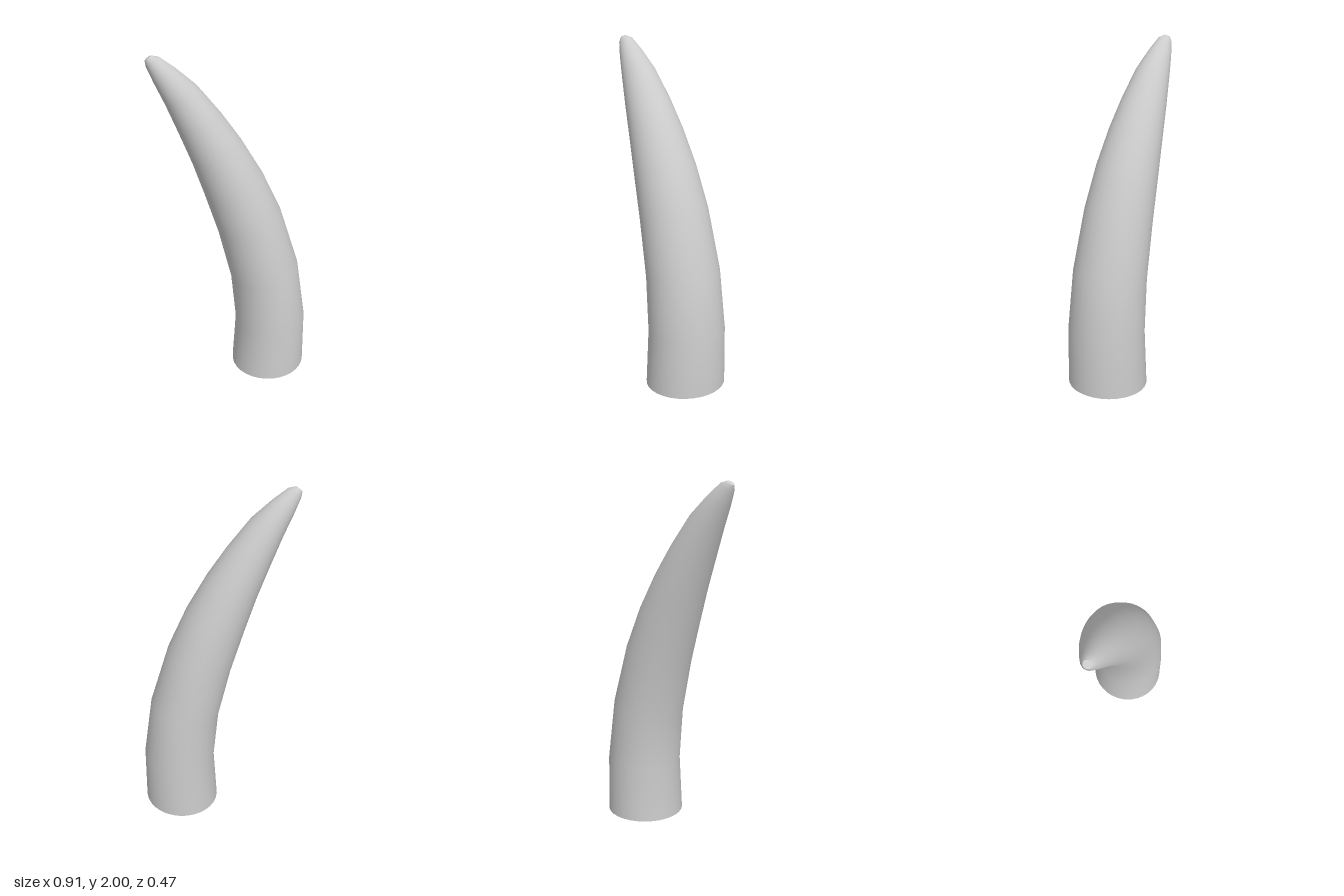
import * as THREE from 'three';

const SIDES = 32;
// Rings from base to tip: inner edge x, y, outer edge x, y, half depth
const RINGS = [
  [0.0, 0.0, 0.455, 0.015, 0.237],
  [0.02, 0.33, 0.45, 0.36, 0.229],
  [-0.01, 0.64, 0.395, 0.725, 0.219],
  [-0.085, 0.95, 0.28, 1.085, 0.203],
  [-0.16, 1.19, 0.17, 1.32, 0.184],
  [-0.23, 1.4, 0.05, 1.52, 0.16],
  [-0.3, 1.58, -0.06, 1.675, 0.134],
  [-0.365, 1.74, -0.19, 1.835, 0.102],
  [-0.42, 1.86, -0.3, 1.93, 0.07],
  [-0.455, 1.945, -0.385, 1.992, 0.042],
  [-0.459, 1.975, -0.425, 2.0, 0.022],
];

function ringPoints([lx, ly, rx, ry, w]) {
  const pts = [];
  for (let j = 0; j < SIDES; j++) {
    const a = (j / SIDES) * Math.PI * 2;
    const t = (1 + Math.cos(a)) / 2;
    pts.push(lx + (rx - lx) * t, ly + (ry - ly) * t, w * Math.sin(a));
  }
  return pts;
}

function makeMesh(name, positions, index) {
  const geo = new THREE.BufferGeometry();
  geo.setAttribute('position', new THREE.Float32BufferAttribute(positions, 3));
  geo.setIndex(index);
  geo.computeVertexNormals();
  const mesh = new THREE.Mesh(geo, new THREE.MeshStandardMaterial({ color: 0xcccccc }));
  mesh.name = name;
  return mesh;
}

// Flat disc closing one end
function makeCap(name, ring, up) {
  const index = [];
  for (let j = 1; j < SIDES - 1; j++) index.push(0, ...(up ? [j + 1, j] : [j, j + 1]));
  return makeMesh(name, ringPoints(ring), index);
}

export function createModel() {
  const group = new THREE.Group();
  group.name = 'horn';

  // Smooth curved, tapering body
  const index = [];
  for (let i = 0; i < RINGS.length - 1; i++) {
    for (let j = 0; j < SIDES; j++) {
      const k = (j + 1) % SIDES;
      const a = i * SIDES + j, b = i * SIDES + k;
      index.push(a, a + SIDES, b, b, a + SIDES, b + SIDES);
    }
  }
  group.add(makeMesh('hornBody', RINGS.flatMap(ringPoints), index));

  // Flat ends
  group.add(makeCap('baseCap', RINGS[0], false));
  group.add(makeCap('tipCap', RINGS[RINGS.length - 1], true));
  return group;
}
